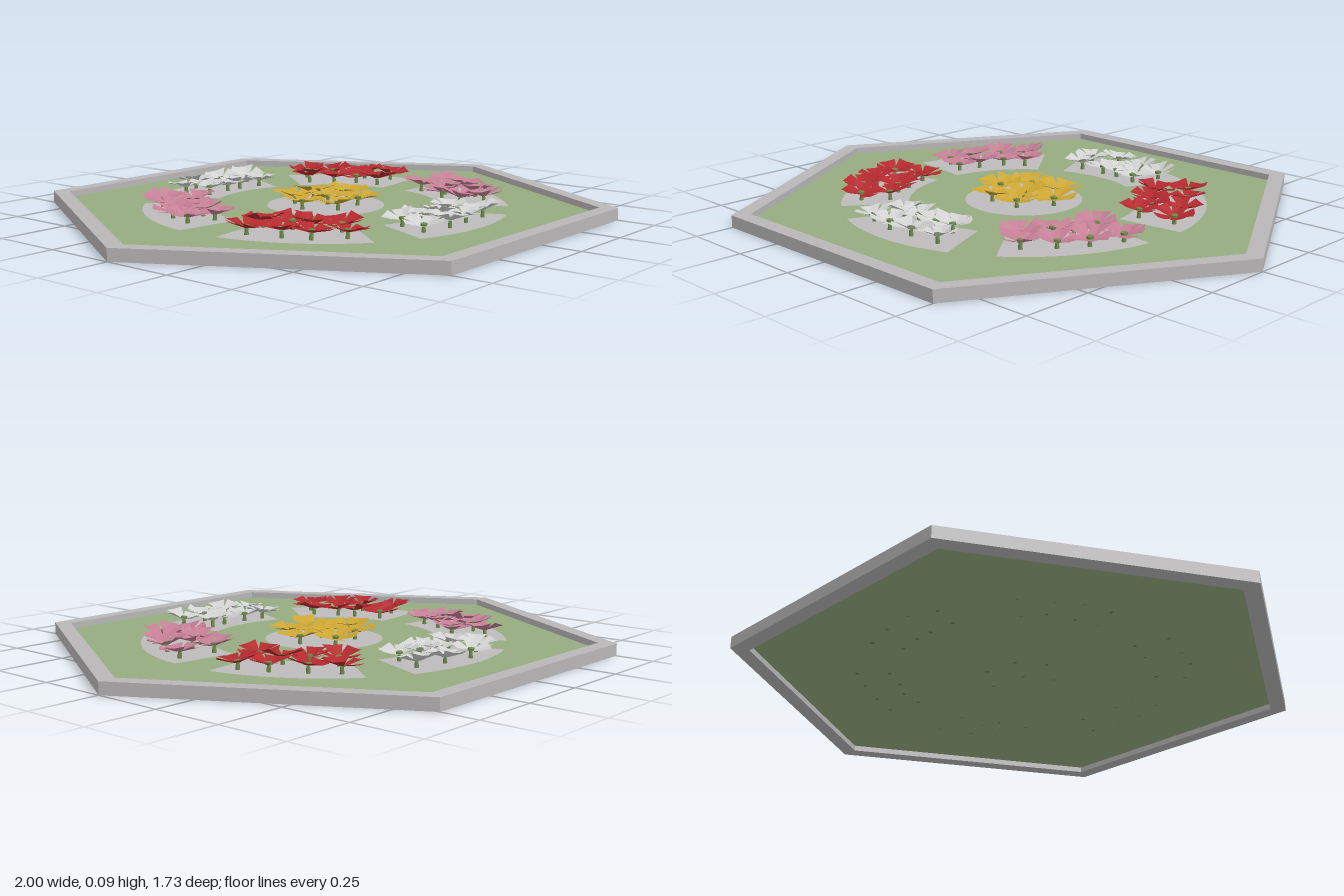
import * as THREE from 'three';
import { mergeGeometries } from 'three/addons/utils/BufferGeometryUtils.js';

const mat = (name, color, side = THREE.FrontSide) => {
  const m = new THREE.MeshStandardMaterial({ color, side });
  m.name = name;
  return m;
};
const TWO = THREE.DoubleSide;
const stone = mat('stone', 0xb8b6b6);
const gravel = mat('gravel', 0xbdbabb, TWO);
const grass = mat('grass', 0x96ac80, TWO);
const leaf = mat('leafGreen', 0x6c8a48);
const white = mat('whitePetal', 0xd2d2d2, TWO);
const red = mat('redPetal', 0xb3292e, TWO);
const pink = mat('pinkPetal', 0xc47e95, TWO);
const yellow = mat('yellowPetal', 0xcda632, TWO);

// seeded random numbers
let seed = 11;
const rand = () => (seed = (seed * 16807) % 2147483647) / 2147483647;
const spread = (a) => (rand() * 2 - 1) * a;

const GRASS_Y = 0.02, BED_Y = 0.023, FLOWER_Y = 0.046;

function hexagon(target, r) {
  const pts = [];
  for (let i = 0; i < 6; i++) {
    const a = (i * Math.PI) / 3;
    pts.push(new THREE.Vector2(r * Math.cos(a), r * Math.sin(a)));
  }
  return target.setFromPoints(pts).closePath();
}

function flat(name, shape, material, y) {
  const mesh = new THREE.Mesh(new THREE.ShapeGeometry(shape, 20), material);
  mesh.name = name;
  mesh.rotation.x = -Math.PI / 2;
  mesh.position.y = y;
  return mesh;
}

// One square-ended petal, creased along its middle and rising outwards
function petalGeometry(r, angle) {
  const w = r * 0.53, lift = 0.022 + spread(0.006), twist = spread(0.006);
  const p = [
    [0.004, 0, -0.008], [0.004, 0, 0.008],
    [r * 0.93, lift + twist, w], [r, lift - 0.004, 0], [r * 0.93, lift - twist, -w],
  ];
  const tris = [[0, 1, 3], [1, 2, 3], [0, 3, 4]];
  const geo = new THREE.BufferGeometry();
  geo.setAttribute('position', new THREE.Float32BufferAttribute(tris.flat().flatMap((i) => p[i]), 3));
  geo.computeVertexNormals();
  return geo.rotateY(angle);
}

function flower(x, z, r, material) {
  const g = new THREE.Group();
  g.name = 'flower';
  const turn = rand() * Math.PI * 2;
  const petals = [];
  for (let i = 0; i < 5; i++) petals.push(petalGeometry(r, turn + (i * Math.PI * 2) / 5));
  const bloom = new THREE.Mesh(mergeGeometries(petals), material);
  bloom.name = 'petals';
  const heart = new THREE.Mesh(new THREE.CylinderGeometry(0.012, 0.012, 0.008, 6), leaf);
  heart.name = 'flowerHeart';
  heart.position.y = 0.005;
  const head = new THREE.Group();
  head.name = 'flowerHead';
  head.add(bloom, heart);
  head.position.y = FLOWER_Y + spread(0.003);
  head.rotation.set(spread(0.12), 0, spread(0.12));
  const stem = new THREE.Mesh(new THREE.CylinderGeometry(0.006, 0.008, FLOWER_Y - GRASS_Y, 6), leaf);
  stem.name = 'stem';
  stem.position.y = (FLOWER_Y + GRASS_Y) / 2;
  g.add(head, stem);
  g.position.set(x, 0, z);
  return g;
}

// Beds: sector angle in degrees (counterclockwise from above), petals, flower spots as x, z
const BEDS = [
  { name: 'backWhiteBed', angle: 90, petal: white, r: 0.064, spots: [[-0.155, -0.535], [-0.06, -0.58], [0.06, -0.565],
    [0.17, -0.535], [-0.125, -0.445], [-0.025, -0.45], [0.04, -0.45], [0.13, -0.435]] },
  { name: 'frontWhiteBed', angle: 270, petal: white, r: 0.064, spots: [[-0.135, 0.43], [-0.05, 0.44], [0.045, 0.45],
    [0.115, 0.44], [-0.165, 0.535], [-0.055, 0.56], [0.045, 0.555], [0.16, 0.545]] },
  { name: 'backLeftRedBed', angle: 30, petal: red, r: 0.066, spots: [[0.395, -0.42], [0.315, -0.34], [0.455, -0.335],
    [0.36, -0.255], [0.415, -0.19], [0.52, -0.23], [0.56, -0.135], [0.435, -0.105]] },
  { name: 'frontRightRedBed', angle: 210, petal: red, r: 0.066, spots: [[-0.545, 0.13], [-0.43, 0.095], [-0.395, 0.19],
    [-0.51, 0.245], [-0.375, 0.255], [-0.475, 0.335], [-0.325, 0.335], [-0.39, 0.41]] },
  { name: 'backRightPinkBed', angle: 150, petal: pink, r: 0.066, spots: [[-0.39, -0.41], [-0.315, -0.325], [-0.45, -0.32],
    [-0.38, -0.275], [-0.51, -0.235], [-0.42, -0.185], [-0.535, -0.14], [-0.445, -0.105]] },
  { name: 'frontLeftPinkBed', angle: 330, petal: pink, r: 0.066, spots: [[0.43, 0.105], [0.565, 0.125], [0.43, 0.21],
    [0.52, 0.235], [0.365, 0.24], [0.46, 0.32], [0.325, 0.345], [0.385, 0.405]] },
  { name: 'centreYellowBed', petal: yellow, r: 0.075, spots: [[-0.055, -0.095], [0.065, -0.11], [-0.12, -0.005],
    [0.005, 0.005], [0.135, -0.01], [-0.055, 0.1], [0.06, 0.095]] },
];

function bedShape(angle) {
  const s = new THREE.Shape();
  if (angle === undefined) return s.absarc(0, 0, 0.205, 0, Math.PI * 2);
  const a = THREE.MathUtils.degToRad(angle), half = THREE.MathUtils.degToRad(23);
  s.absarc(0, 0, 0.635, a - half, a + half, false);
  s.absarc(0, 0, 0.4, a + half, a - half, true);
  return s.closePath();
}

export function createModel() {
  const model = new THREE.Group();
  model.name = 'flowerGarden';

  // Raised hexagonal kerb
  const rim = hexagon(new THREE.Shape(), 1);
  rim.holes.push(hexagon(new THREE.Path(), 0.938));
  const kerb = new THREE.Mesh(
    new THREE.ExtrudeGeometry(rim, { depth: 0.042, bevelEnabled: false }).rotateX(-Math.PI / 2), stone);
  kerb.name = 'kerb';
  model.add(kerb);

  // Lawn
  model.add(flat('lawn', hexagon(new THREE.Shape(), 0.938), grass, GRASS_Y));

  // Gravel beds with their flowers
  for (const { name, angle, petal, r, spots } of BEDS) {
    const bed = new THREE.Group();
    bed.name = name;
    bed.add(flat('gravelPatch', bedShape(angle), gravel, BED_Y));
    for (const [x, z] of spots) bed.add(flower(x, z, r, petal));
    model.add(bed);
  }
  return model;
}
